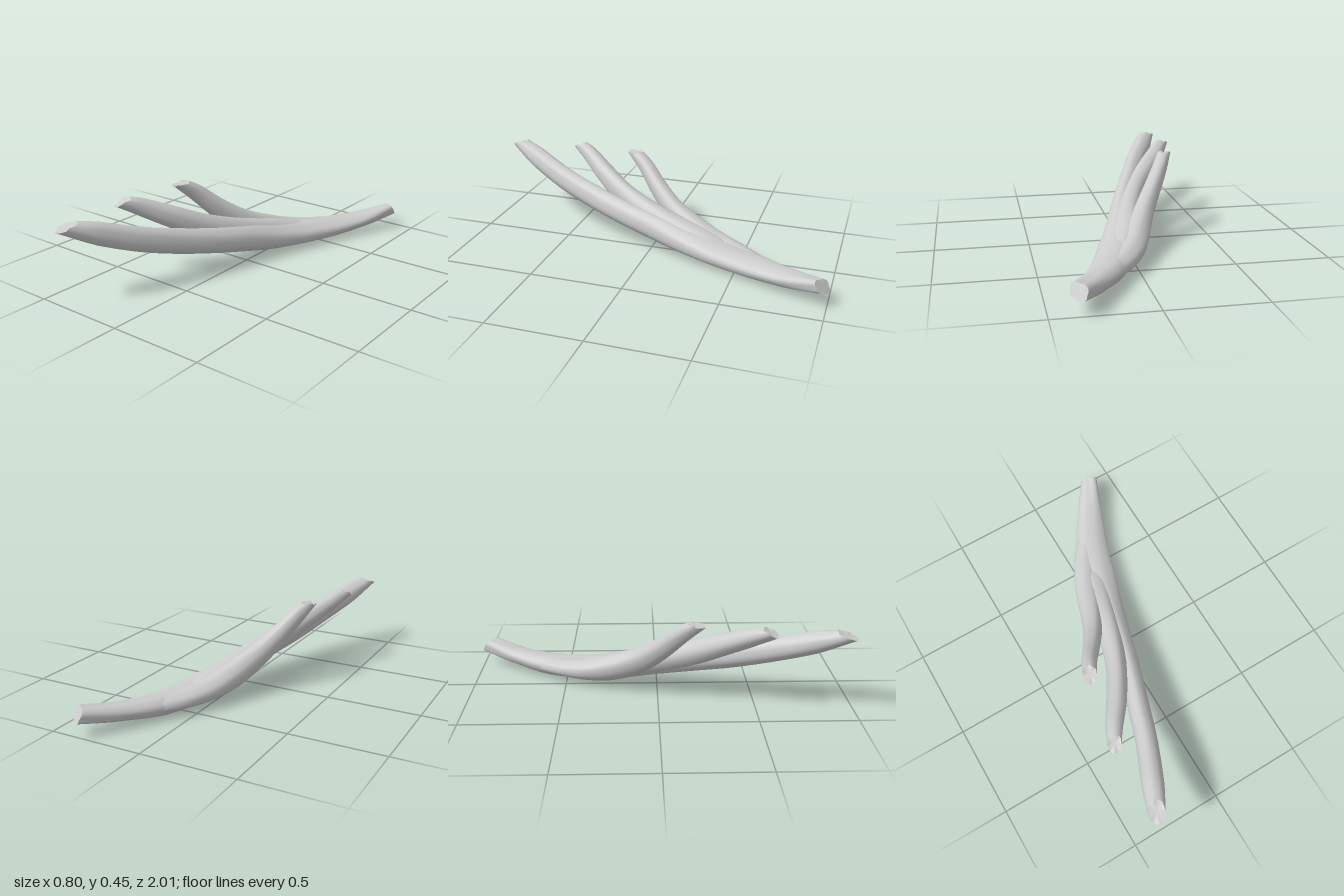
import * as THREE from 'three';

const SIDES = 24;
const UP = new THREE.Vector3(0, 1, 0);

// Each cross-section: x, y, z of the centre, half width, half height
const MAIN = [
  [0.364, 0.106, -0.972, 0.042, 0.034], [0.27, 0.073, -0.8, 0.067, 0.043],
  [0.168, 0.057, -0.6, 0.088, 0.054], [0.098, 0.066, -0.4, 0.094, 0.06],
  [0.05, 0.09, -0.2, 0.076, 0.068], [0.003, 0.128, 0, 0.06, 0.07],
  [-0.055, 0.166, 0.2, 0.058, 0.068], [-0.125, 0.21, 0.4, 0.058, 0.067],
  [-0.197, 0.266, 0.6, 0.057, 0.064], [-0.287, 0.338, 0.8, 0.057, 0.058],
  [-0.355, 0.4, 0.945, 0.043, 0.037],
];
const MIDDLE = [
  [0.1, 0.068, -0.5, 0.04, 0.03], [0.055, 0.086, -0.36, 0.07, 0.053],
  [0.015, 0.105, -0.24, 0.08, 0.066], [-0.045, 0.156, -0.02, 0.067, 0.071],
  [-0.125, 0.224, 0.18, 0.056, 0.068], [-0.225, 0.31, 0.35, 0.053, 0.058],
  [-0.31, 0.376, 0.47, 0.045, 0.048], [-0.364, 0.421, 0.56, 0.035, 0.035],
];
const REAR = [
  [0.205, 0.066, -0.71, 0.03, 0.024], [0.13, 0.063, -0.6, 0.058, 0.042],
  [0.062, 0.07, -0.49, 0.066, 0.049], [0.006, 0.082, -0.38, 0.066, 0.059],
  [-0.05, 0.117, -0.24, 0.064, 0.071], [-0.113, 0.182, -0.1, 0.054, 0.067],
  [-0.187, 0.277, 0.02, 0.046, 0.056], [-0.248, 0.367, 0.11, 0.041, 0.047],
  [-0.293, 0.439, 0.195, 0.036, 0.034],
];

// Sweeps a ridged oval along the sections; the far end is a slanted, chipped break
function createBranch(name, rows, steps, slant, phase) {
  const path = new THREE.CatmullRomCurve3(rows.map(r => new THREE.Vector3(r[0], r[1], r[2])));
  const size = new THREE.CatmullRomCurve3(rows.map(r => new THREE.Vector3(r[3], r[4], 0)));
  const rings = [];
  for (let i = 0; i <= steps; i++) {
    const t = i / steps;
    const centre = path.getPoint(t);
    const half = size.getPoint(t);
    const along = path.getTangent(t);
    const across = new THREE.Vector3().crossVectors(UP, along).normalize();
    const normal = new THREE.Vector3().crossVectors(along, across);
    const start = Math.max(0, 1 - t / 0.12);
    const end = Math.max(0, (t - 0.92) / 0.08);
    const ring = [];
    for (let j = 0; j < SIDES; j++) {
      const a = (j / SIDES) * Math.PI * 2;
      // Lengthwise grooves that drift slowly around the branch; the root is squarer
      const ridge = 1 + 0.03 * Math.sin(3 * a + 4 * t + phase)
        + 0.02 * Math.sin(7 * a - 5 * t + phase)
        + 0.2 * start * Math.sin(2 * a) ** 2;
      const chip = 0.005 * Math.sin(4 * a + phase) + 0.003 * Math.sin(7 * a);
      const cut = 0.014 * Math.sin(a) + 0.008 * Math.cos(a);
      ring.push(centre.clone()
        .addScaledVector(across, Math.cos(a) * half.x * ridge)
        .addScaledVector(normal, Math.sin(a) * half.y * ridge)
        .addScaledVector(along, end * (chip - slant * Math.sin(a)) + start * cut)
        .addScaledVector(UP, start * 0.01 * Math.cos(a)));
    }
    rings.push(ring);
  }

  const positions = [];
  const index = [];
  const add = p => positions.push(p.x, p.y, p.z) / 3 - 1;
  rings.flat().forEach(add);
  for (let i = 0; i < steps; i++) {
    for (let j = 0; j < SIDES; j++) {
      const k = (j + 1) % SIDES;
      const a = i * SIDES + j, b = i * SIDES + k;
      index.push(a, b, a + SIDES, b, b + SIDES, a + SIDES);
    }
  }

  // End faces with their own vertices for sharp rims; the break is slightly hollow
  [[rings[0], 0, false], [rings[steps], 0.008, true]].forEach(([ring, hollow, far]) => {
    const middle = new THREE.Vector3();
    ring.forEach(p => middle.addScaledVector(p, 1 / SIDES));
    middle.addScaledVector(path.getTangent(far ? 1 : 0), -hollow);
    const c = add(middle);
    const first = c + 1;
    ring.forEach(add);
    for (let j = 0; j < SIDES; j++) {
      const a = first + j, b = first + (j + 1) % SIDES;
      index.push(c, far ? a : b, far ? b : a);
    }
  });

  const geometry = new THREE.BufferGeometry();
  geometry.setAttribute('position', new THREE.Float32BufferAttribute(positions, 3));
  geometry.setIndex(index);
  geometry.computeVertexNormals();
  const mesh = new THREE.Mesh(geometry, new THREE.MeshStandardMaterial({ color: 0xcccccc }));
  mesh.name = name;
  return mesh;
}

export function createModel() {
  const group = new THREE.Group();
  group.name = 'forkedBranch';
  group.add(
    createBranch('mainBranch', MAIN, 60, 0.045, 0.4),
    createBranch('middleProng', MIDDLE, 44, 0.03, 1.7),
    createBranch('rearProng', REAR, 44, 0.035, 3.1),
  );
  return group;
}
